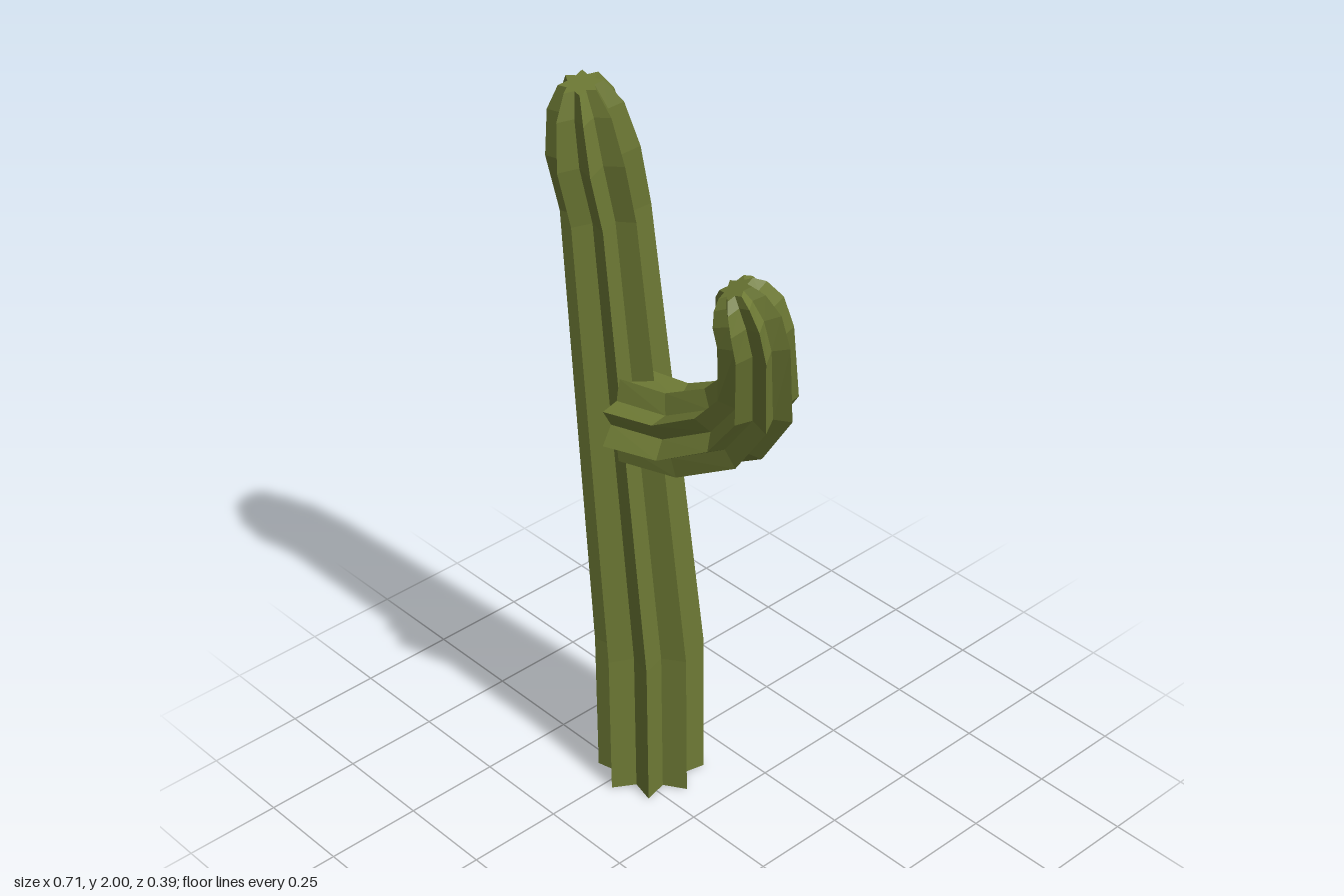
import * as THREE from 'three';

const RIDGES = 8;

// Sweeps a star cross-section through rings [x, y, z, ridge radius], capped at both ends.
function ribbedStem(rings, twist, valley) {
  const n = RIDGES * 2;
  const centres = rings.map(([x, y, z]) => new THREE.Vector3(x, y, z));
  const last = rings.length - 1;
  const direction = (a, b) => centres[b].clone().sub(centres[a]).normalize();
  const positions = [];
  const index = [];

  rings.forEach((ring, j) => {
    const t = new THREE.Vector3();
    if (j > 0) t.add(direction(j - 1, j));
    if (j < last) t.add(direction(j, j + 1));
    t.normalize();
    const u = new THREE.Vector3(0, 0, 1).projectOnPlane(t).normalize();
    const v = u.clone().cross(t);
    for (let i = 0; i < n; i++) {
      const angle = twist + (i / n) * Math.PI * 2;
      const r = ring[3] * (i % 2 ? valley : 1);
      const p = centres[j].clone()
        .addScaledVector(u, r * Math.cos(angle))
        .addScaledVector(v, r * Math.sin(angle));
      positions.push(p.x, p.y, p.z);
    }
  });

  // End-cap centres
  const bottom = positions.length / 3;
  const top = bottom + 1;
  positions.push(...centres[0].toArray(), ...centres[last].toArray());

  for (let i = 0; i < n; i++) {
    const k = (i + 1) % n;
    for (let j = 0; j < last; j++) {
      const a = j * n, b = a + n;
      index.push(a + i, b + i, a + k, b + i, b + k, a + k);
    }
    index.push(bottom, i, k, top, last * n + k, last * n + i);
  }

  const indexed = new THREE.BufferGeometry();
  indexed.setAttribute('position', new THREE.Float32BufferAttribute(positions, 3));
  indexed.setIndex(index);
  const geometry = indexed.toNonIndexed();
  geometry.computeVertexNormals();
  return geometry;
}

export function createModel() {
  const group = new THREE.Group();
  group.name = 'cactus';
  const green = new THREE.MeshStandardMaterial({ color: 0x6e7a35, flatShading: true });
  green.name = 'cactus green';

  const add = (name, geometry) => {
    const mesh = new THREE.Mesh(geometry, green);
    mesh.name = name;
    group.add(mesh);
  };

  // Leaning trunk with a rounded tip
  add('trunk', ribbedStem([
    [-0.225, 0, -0.06, 0.135],
    [-0.225, 0.41, -0.058, 0.135],
    [-0.225, 1.67, 0.057, 0.102],
    [-0.225, 1.82, 0.09, 0.105],
    [-0.225, 1.935, 0.108, 0.084],
    [-0.225, 1.992, 0.119, 0.05],
  ], 0, 0.65));

  // Side arm curving up to a rounded tip
  add('arm', ribbedStem([
    [-0.148, 1.163, 0.062, 0.112],
    [-0.005, 1.173, 0.032, 0.108],
    [0.142, 1.252, 0.013, 0.103],
    [0.227, 1.362, 0.02, 0.092],
    [0.272, 1.56, 0.075, 0.085],
    [0.27, 1.63, 0.096, 0.082],
    [0.262, 1.672, 0.112, 0.064],
    [0.256, 1.692, 0.12, 0.042],
  ], -0.28, 0.65));

  return group;
}
